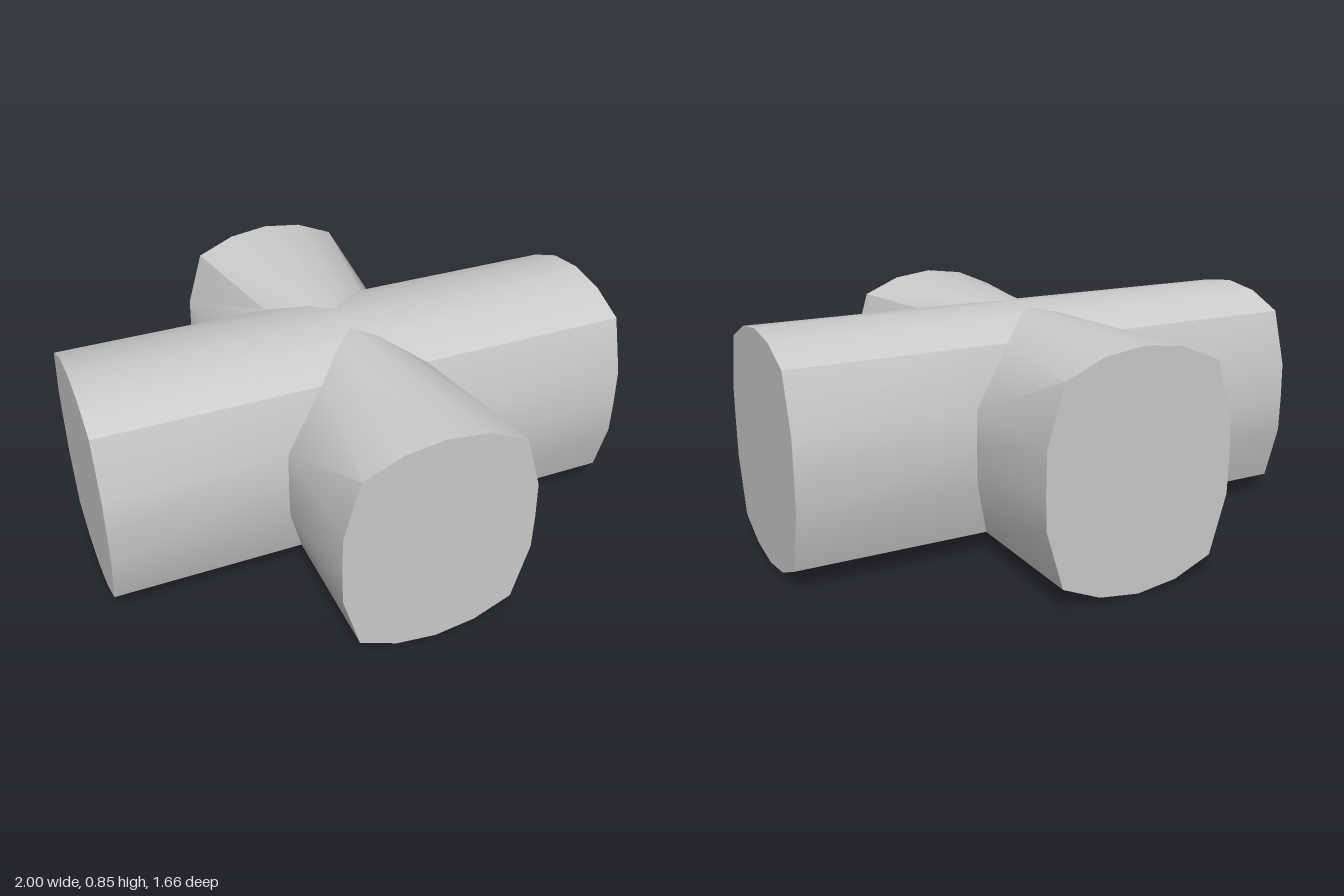
import * as THREE from 'three';
import { toCreasedNormals } from 'three/addons/utils/BufferGeometryUtils.js';

// Half of the barrel cross-section, top to bottom: [half width, height]
const HALF = [
  [0, 0.845], [0.15, 0.825], [0.29, 0.765], [0.352, 0.56], [0.355, 0.42],
  [0.352, 0.29], [0.29, 0.08], [0.15, 0.02], [0, 0],
];

// Where a side arm meets the main barrel: [x, y, z]. The top narrows, the bottom is mitred.
const JOINT = [
  [0, 0.835, 0.07], [0.075, 0.825, 0.15], [0.2, 0.765, 0.29],
  ...HALF.slice(3).map(([w, y]) => [w, y, w]),
];

// Completes a half outline into a closed ring
function mirrorRing(half) {
  const right = half.map((p) => new THREE.Vector3(...p));
  const left = half.slice(1, -1).reverse().map(([x, y, z]) => new THREE.Vector3(-x, y, z));
  return [...right, ...left];
}

const ringAt = (z) => mirrorRing(HALF.map(([w, y]) => [w, y, z]));

// Skins rings ordered from front to back, with optional flat end caps
function loft(rings, capFront, capBack) {
  const pos = [];
  const tri = (...pts) => pts.forEach((p) => pos.push(p.x, p.y, p.z));
  const n = rings[0].length;
  const cap = (ring, front) => {
    const c = new THREE.Vector3(0, 0.4225, ring[0].z);
    ring.forEach((p, i) => {
      const q = ring[(i + 1) % n];
      if (front) tri(c, q, p);
      else tri(c, p, q);
    });
  };
  for (let r = 0; r < rings.length - 1; r++) {
    for (let i = 0; i < n; i++) {
      const j = (i + 1) % n;
      const [a, b, c, d] = [rings[r][i], rings[r][j], rings[r + 1][i], rings[r + 1][j]];
      tri(a, b, c);
      tri(b, d, c);
    }
  }
  if (capFront) cap(rings[0], true);
  if (capBack) cap(rings[rings.length - 1], false);
  const geo = new THREE.BufferGeometry();
  geo.setAttribute('position', new THREE.Float32BufferAttribute(pos, 3));
  return toCreasedNormals(geo, 0.7);
}

export function createModel() {
  const group = new THREE.Group();
  const material = new THREE.MeshStandardMaterial({ color: 0xcccccc });
  const add = (name, geometry, turn) => {
    const mesh = new THREE.Mesh(geometry, material);
    mesh.name = name;
    mesh.rotation.y = turn;
    group.add(mesh);
  };

  // Main barrel running left to right, with a seam either side of the crossing
  add('mainBarrel', loft([1, 0.42, -0.42, -1].map(ringAt), true, true), Math.PI / 2);

  // Front and back arms
  const arm = loft([ringAt(0.83), mirrorRing(JOINT)], true, false);
  add('frontArm', arm, 0);
  add('backArm', arm, Math.PI);

  return group;
}
